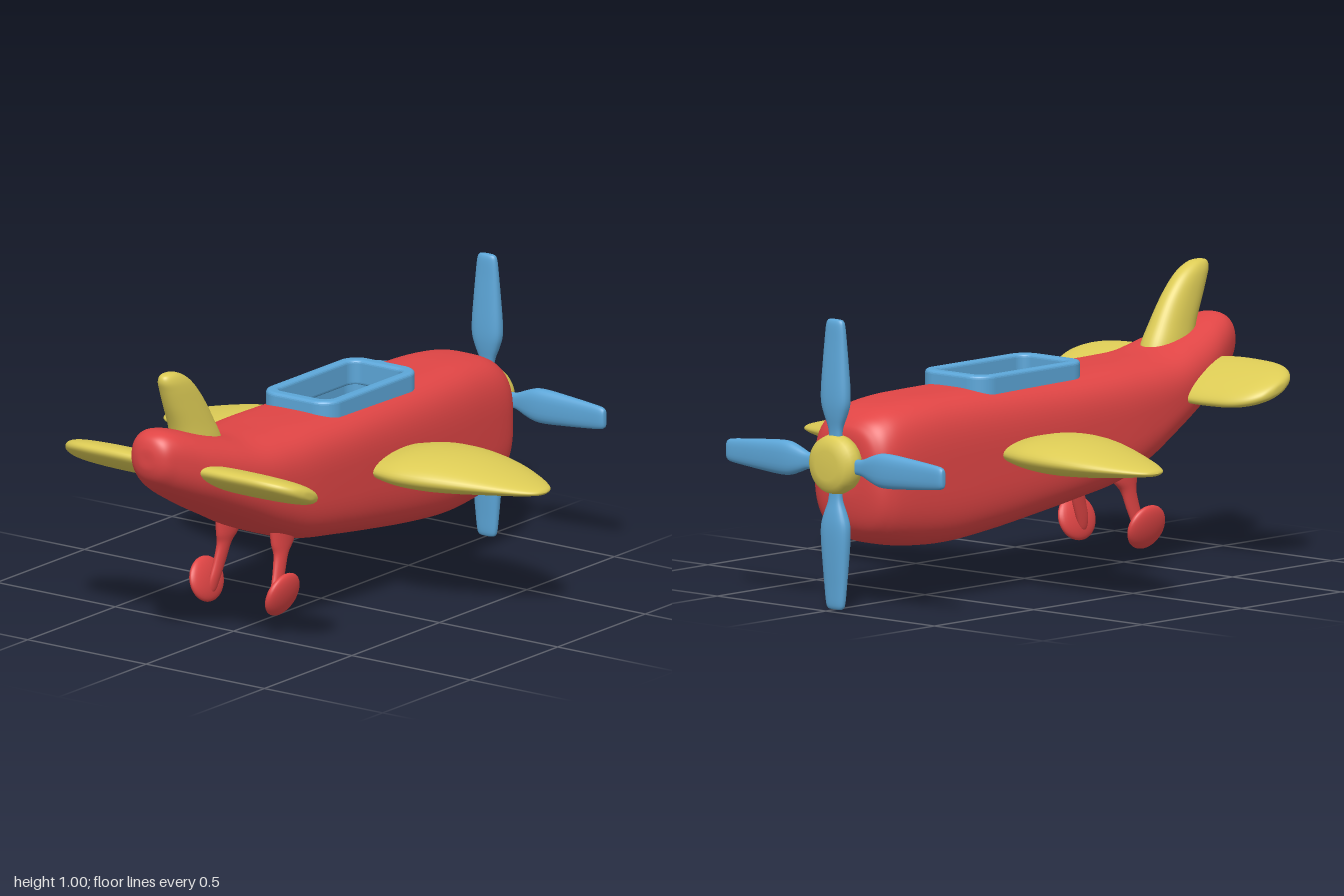
import * as THREE from 'three';

const paint = (color) => new THREE.MeshStandardMaterial({ color });
const RED = paint(0xe04545), YELLOW = paint(0xdccb55), BLUE = paint(0x5ca6d8);
const AX = { x: [1, 0, 0], y: [0, 1, 0], z: [0, 0, 1] };

// Smooth (Catmull-Rom) value of a list of rows at t in 0..1
function sample(rows, t) {
  const f = t * (rows.length - 1), i = Math.min(Math.floor(f), rows.length - 2), s = f - i;
  const at = (k) => rows[Math.max(0, Math.min(rows.length - 1, k))];
  const [a, b, c, d] = [at(i - 1), at(i), at(i + 1), at(i + 2)];
  return b.map((_, k) => b[k] + 0.5 * s * (c[k] - a[k]
    + s * (2 * a[k] - 5 * b[k] + 4 * c[k] - d[k] + s * (3 * (b[k] - c[k]) + d[k] - a[k]))));
}

// Loft of superellipses; row = [cx, cy, cz, half size along U, half size along V, exponent]
function loft(rows, U, V, { steps = 48, sides = 48, skip = () => false } = {}) {
  const pos = [], idx = [];
  const pw = (c, n) => Math.sign(c) * Math.pow(Math.abs(c), 2 / n);
  for (let i = 0; i <= steps; i++) {
    const [cx, cy, cz, a, b, n] = sample(rows, i / steps);
    for (let j = 0; j < sides; j++) {
      const th = (j / sides) * Math.PI * 2;
      const u = Math.max(a, 0) * pw(Math.cos(th), n), v = Math.max(b, 0) * pw(Math.sin(th), n);
      pos.push(cx + U[0] * u + V[0] * v, cy + U[1] * u + V[1] * v, cz + U[2] * u + V[2] * v);
    }
  }
  // Pick the winding that faces outward
  const p = (k) => new THREE.Vector3().fromArray(pos, k * 3);
  const first = rows[0], last = rows[rows.length - 1];
  const along = new THREE.Vector3(last[0] - first[0], last[1] - first[1], last[2] - first[2]);
  const flip = new THREE.Vector3(...U).cross(new THREE.Vector3(...V)).dot(along) < 0;
  for (let i = 0; i < steps; i++) for (let j = 0; j < sides; j++) {
    const a = i * sides + j, b = i * sides + (j + 1) % sides, c = b + sides, d = a + sides;
    if (skip(p(a).add(p(b)).add(p(c)).add(p(d)).divideScalar(4))) continue;
    if (flip) idx.push(a, c, b, a, d, c);
    else idx.push(a, b, c, a, c, d);
  }
  const g = new THREE.BufferGeometry();
  g.setAttribute('position', new THREE.Float32BufferAttribute(pos, 3));
  g.setIndex(idx);
  g.computeVertexNormals();
  return g;
}

function add(parent, name, geometry, material) {
  const m = new THREE.Mesh(geometry, material);
  m.name = name;
  parent.add(m);
  return m;
}

function roundedRect(w, h, r, Type = THREE.Shape) {
  const s = new Type();
  s.absarc(w - r, h - r, r, 0, Math.PI / 2);
  s.absarc(-w + r, h - r, r, Math.PI / 2, Math.PI);
  s.absarc(-w + r, -h + r, r, Math.PI, Math.PI * 1.5);
  s.absarc(w - r, -h + r, r, Math.PI * 1.5, Math.PI * 2);
  s.closePath();
  return s;
}

const COCKPIT_Z = -0.11;

// Upright frame with a rounded opening, from y0 to y1
function frame(w, h, r, iw, ih, ir, y0, y1, bevel) {
  const s = roundedRect(w - bevel, h - bevel, r);
  s.holes.push(roundedRect(iw + bevel, ih + bevel, ir, THREE.Path));
  const g = new THREE.ExtrudeGeometry(s, {
    depth: y1 - y0 - 2 * bevel, bevelEnabled: bevel > 0, bevelSize: bevel,
    bevelThickness: bevel, bevelSegments: 4, curveSegments: 10,
  });
  return g.rotateX(-Math.PI / 2).translate(0, y0 + bevel, COCKPIT_Z);
}

export function createModel() {
  const plane = new THREE.Group();
  plane.name = 'toyPlane';

  // Fuselage, nose to tail: z, top, bottom, half width, exponent
  const body = [
    [-0.91, 0.5, 0.48, 0, 2.6], [-0.91, 0.6, 0.38, 0.1, 2.6], [-0.89, 0.64, 0.29, 0.15, 2.8],
    [-0.85, 0.668, 0.24, 0.178, 3], [-0.78, 0.69, 0.21, 0.193, 3.2], [-0.65, 0.703, 0.193, 0.204, 3.4],
    [-0.5, 0.705, 0.19, 0.212, 3.5], [-0.3, 0.705, 0.208, 0.219, 3.5], [-0.1, 0.705, 0.235, 0.225, 3.5],
    [0.1, 0.705, 0.265, 0.23, 3.5], [0.3, 0.71, 0.297, 0.229, 3.3], [0.45, 0.713, 0.35, 0.219, 3],
    [0.58, 0.722, 0.412, 0.203, 2.7], [0.7, 0.753, 0.47, 0.182, 2.5], [0.8, 0.782, 0.522, 0.158, 2.4],
    [0.88, 0.806, 0.566, 0.128, 2.4], [0.94, 0.815, 0.606, 0.1, 2.4], [0.98, 0.8, 0.645, 0.075, 2.3],
    [0.998, 0.765, 0.685, 0.04, 2.2], [1, 0.725, 0.72, 0, 2],
  ].map(([z, t, b, w, n]) => [0, (t + b) / 2, z, w, (t - b) / 2, n]);
  const inCockpit = (q) => q.y > 0.55 && Math.abs(q.x) < 0.132 && Math.abs(q.z - COCKPIT_Z) < 0.25
    && Math.hypot(Math.max(Math.abs(q.x) - 0.072, 0), Math.max(Math.abs(q.z - COCKPIT_Z) - 0.19, 0)) < 0.06;
  add(plane, 'fuselage', loft(body, AX.x, AX.y, { steps: 190, sides: 96, skip: inCockpit }), RED);

  // Open cockpit
  const cockpit = new THREE.Group();
  cockpit.name = 'cockpit';
  plane.add(cockpit);
  add(cockpit, 'cockpitRim', frame(0.15, 0.27, 0.06, 0.112, 0.225, 0.05, 0.66, 0.75, 0.012), BLUE);
  add(cockpit, 'cockpitWalls', frame(0.13, 0.242, 0.06, 0.118, 0.23, 0.05, 0.54, 0.7, 0), BLUE);
  add(cockpit, 'cockpitFloor',
    new THREE.ShapeGeometry(roundedRect(0.125, 0.237, 0.05)).rotateX(-Math.PI / 2).translate(0, 0.55, COCKPIT_Z), BLUE);

  // Main wing: x, centre y, leading z, trailing z, half thickness
  const wing = loft([
    [0.1, 0.485, -0.26, -0.06, 0.03], [0.2, 0.485, -0.335, 0.0, 0.045], [0.3, 0.487, -0.378, 0.028, 0.062],
    [0.4, 0.486, -0.39, 0.02, 0.065], [0.5, 0.483, -0.382, -0.01, 0.058], [0.6, 0.478, -0.358, -0.052, 0.044],
    [0.7, 0.472, -0.312, -0.1, 0.028], [0.76, 0.468, -0.274, -0.137, 0.017], [0.79, 0.466, -0.243, -0.168, 0.01],
    [0.8, 0.465, -0.207, -0.203, 0],
  ].map(([x, y, a, b, t]) => [x, y, (a + b) / 2, (b - a) / 2, t, 2]), AX.z, AX.y);

  // Tailplane, pitched up toward the tail: x, half chord, half thickness
  const tilt = 0.4;
  const tailplane = loft([
    [0.08, 0.13, 0.036], [0.2, 0.146, 0.04], [0.3, 0.146, 0.04], [0.38, 0.138, 0.038], [0.44, 0.115, 0.034],
    [0.48, 0.078, 0.026], [0.497, 0.037, 0.015], [0.5, 0, 0],
  ].map(([x, a, t]) => [x, 0.62, 0.74, a, t, 2.1]),
  [0, Math.sin(tilt), Math.cos(tilt)], [0, Math.cos(tilt), -Math.sin(tilt)]);

  // Landing leg: centre x, y, z, half depth, half width
  const leg = loft([
    [0.115, 0.37, 0.37, 0.07, 0.03, 2], [0.116, 0.31, 0.378, 0.056, 0.026, 2], [0.12, 0.27, 0.392, 0.034, 0.02, 2],
    [0.125, 0.21, 0.41, 0.03, 0.016, 2], [0.13, 0.15, 0.432, 0.027, 0.014, 2], [0.133, 0.11, 0.44, 0.016, 0.009, 2],
    [0.134, 0.1, 0.441, 0, 0, 2],
  ], AX.z, AX.x, { steps: 28, sides: 24 });
  const wheel = new THREE.SphereGeometry(1, 32, 24).scale(0.027, 0.079, 0.088)
    .rotateZ(-0.28).translate(0.16, 0.145, 0.438);

  for (const [side, sx] of [['left', 1], ['right', -1]]) {
    const half = new THREE.Group();
    half.name = side + 'Side';
    half.scale.x = sx;
    plane.add(half);
    add(half, side + 'Wing', wing, YELLOW);
    add(half, side + 'Tailplane', tailplane, YELLOW);
    add(half, side + 'LandingLeg', leg, RED);
    add(half, side + 'Wheel', wheel, RED);
  }

  // Tail fin: y, front z, rear z, half width
  const fin = loft([
    [0.62, 0.58, 0.8, 0.075], [0.72, 0.606, 0.82, 0.07], [0.8, 0.648, 0.843, 0.06], [0.88, 0.698, 0.878, 0.051],
    [0.94, 0.748, 0.902, 0.044], [0.975, 0.79, 0.914, 0.036], [0.997, 0.835, 0.906, 0.022], [1.003, 0.872, 0.876, 0],
  ].map(([y, a, b, w]) => [0, y, (a + b) / 2, (b - a) / 2, w, 2.2]), AX.z, AX.x);
  add(plane, 'tailFin', fin, YELLOW);

  // Propeller: rounded hub and four blades
  const propeller = new THREE.Group();
  propeller.name = 'propeller';
  propeller.position.set(0, 0.5, -0.95);
  plane.add(propeller);
  const hubProfile = [[0, 0.05], [0.05, 0.05], [0.08, 0.044], [0.097, 0.028], [0.104, 0],
    [0.097, -0.028], [0.08, -0.044], [0.05, -0.05], [0, -0.05]].map(([r, h]) => new THREE.Vector2(r, -h));
  add(propeller, 'propellerHub', new THREE.LatheGeometry(hubProfile, 40).rotateX(Math.PI / 2), YELLOW);

  // Blade: radius, half width, half thickness
  const blade = loft([
    [0.06, 0.026, 0.015], [0.1, 0.026, 0.015], [0.13, 0.03, 0.018], [0.17, 0.046, 0.025], [0.21, 0.058, 0.029],
    [0.26, 0.059, 0.029], [0.34, 0.053, 0.025], [0.42, 0.046, 0.02], [0.475, 0.04, 0.017], [0.493, 0.034, 0.013],
    [0.498, 0.024, 0.008], [0.499, 0, 0],
  ].map(([r, w, t]) => [0, r, 0, w, t, 2.6]), AX.x, AX.z, { steps: 44, sides: 28 });
  for (let i = 0; i < 4; i++) add(propeller, 'propellerBlade' + (i + 1), blade, BLUE).rotation.z = i * Math.PI / 2;

  return plane;
}
